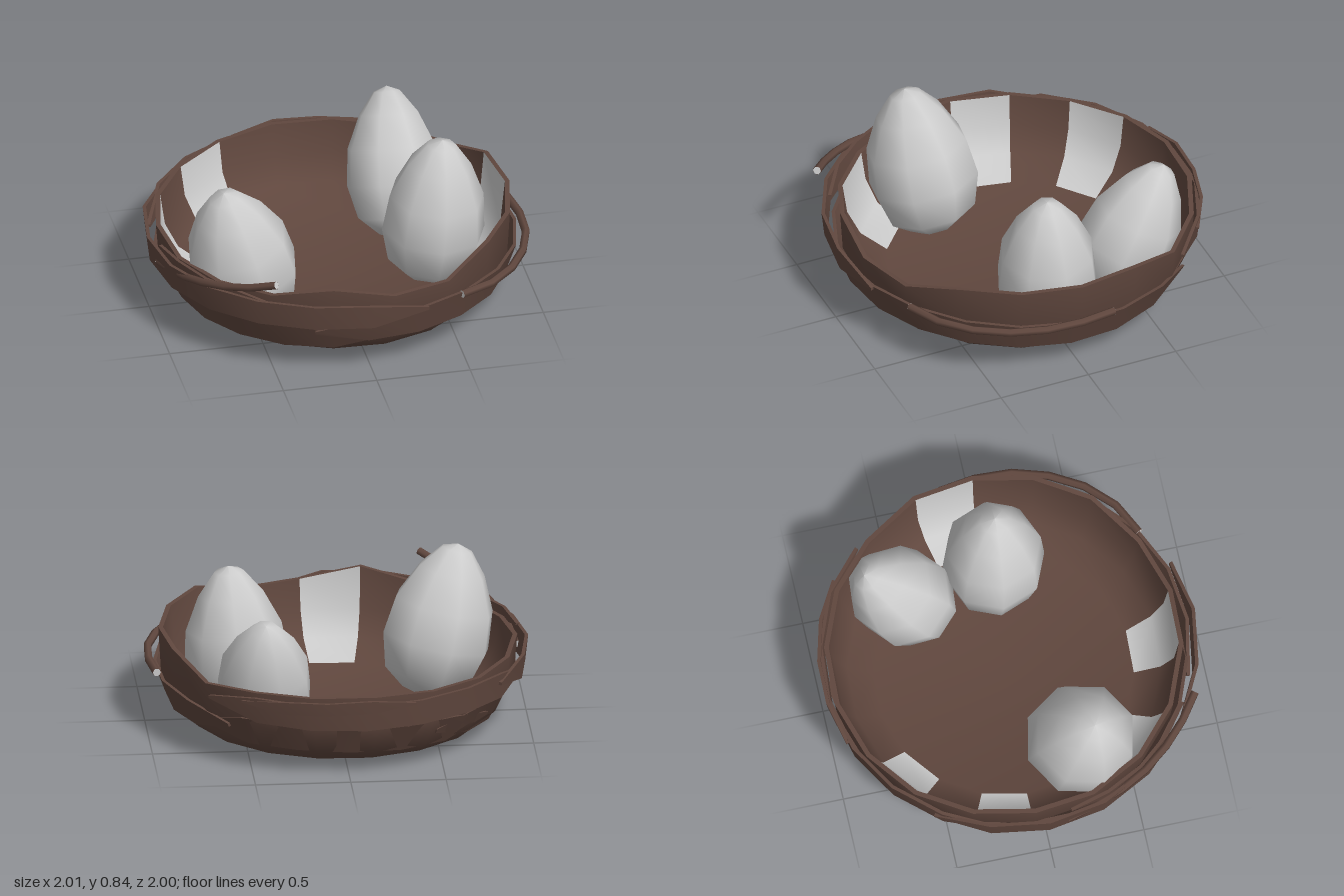
import * as THREE from 'three';
import { toCreasedNormals } from 'three/addons/utils/BufferGeometryUtils.js';

const brown = new THREE.MeshStandardMaterial({ color: 0x60473e, side: THREE.DoubleSide });
const grey = new THREE.MeshStandardMaterial({ color: 0xcccccc, side: THREE.DoubleSide });
const rad = THREE.MathUtils.degToRad;

// Piecewise-linear lookup in [key, value] pairs
function lookup(table, k) {
  for (let i = 1; i < table.length; i++) {
    const [k0, v0] = table[i - 1], [k1, v1] = table[i];
    if (k <= k1) return v0 + (v1 - v0) * Math.max(0, (k - k0) / (k1 - k0));
  }
  return table[table.length - 1][1];
}

// Angles run from +x towards +z, in degrees
const rimHeight = [[0, 0.52], [42, 0.52], [62, 0.43], [82, 0.435], [102, 0.5], [122, 0.44],
  [155, 0.42], [182, 0.45], [225, 0.435], [262, 0.455], [302, 0.45], [322, 0.43], [342, 0.52], [360, 0.52]];
const wallRadius = [[0.04, 0.7], [0.065, 0.79], [0.13, 0.86], [0.27, 0.925], [0.45, 0.945]];

// Bowl: a closed ring profile with an uneven rim and some pale panels
function bowl() {
  const n = 18, pale = [0, 5, 7, 10, 12];
  const profile = a => {
    const rim = lookup(rimHeight, (a + 360) % 360);
    return [[0, 0.035], [0.7, 0.04], [0.79, 0.065], [0.86, 0.13], [0.925, 0.27], [0.94, rim],
      [0.915, rim], [0.89, 0.27], [0.82, 0.14], [0.68, 0.05], [0, 0.045]];
  };
  const rows = 11, pos = [], lists = [[], []];
  for (let j = 0; j < n; j++) {
    const a = j * 20 - 18;
    for (const [r, y] of profile(a)) pos.push(r * Math.cos(rad(a)) - 0.01, y, r * Math.sin(rad(a)) - 0.035);
    for (let i = 0; i < rows - 1; i++) {
      const p = j * rows + i, q = ((j + 1) % n) * rows + i;
      const isPale = i === 0 || (i === 1 && j > 6 && j < 15) || (pale.includes(j) && i > 5 && i < 9);
      const list = lists[isPale ? 1 : 0];
      if (i < rows - 2) list.push(p, p + 1, q + 1);
      if (i > 0) list.push(p, q + 1, q);
      if (i === rows - 2) list.push(p, p + 1, q);
    }
  }
  const g = new THREE.BufferGeometry();
  g.setAttribute('position', new THREE.Float32BufferAttribute(pos, 3));
  g.setIndex([...lists[0], ...lists[1]]);
  g.addGroup(0, lists[0].length, 0);
  g.addGroup(lists[0].length, lists[1].length, 1);
  return new THREE.Mesh(toCreasedNormals(g, 0.75), [brown, grey]);
}

// Flat strip wrapped round the bowl, tapering at both ends
function strip(a0, a1, y0, y1, height, gap, wave) {
  const n = Math.max(4, Math.round(Math.abs(a1 - a0) / 18)), pos = [], idx = [];
  for (let j = 0; j <= n; j++) {
    const t = j / n, a = rad(a0 + (a1 - a0) * t);
    const half = height / 2 * Math.min(1, 0.12 + 2.2 * Math.sin(Math.PI * t));
    const y = y0 + (y1 - y0) * t + wave * Math.sin(t * 7);
    for (const [s, depth] of [[-1, 0], [1, 0], [1, 0.018], [-1, 0.018]]) {
      const h = y + s * half, r = lookup(wallRadius, h) + gap - depth;
      pos.push(r * Math.cos(a) - 0.01, h, r * Math.sin(a) - 0.015);
    }
    if (j < n) for (let i = 0; i < 4; i++) {
      const p = j * 4 + i, q = j * 4 + (i + 1) % 4;
      idx.push(p, q, q + 4, p, q + 4, p + 4);
    }
  }
  const e = n * 4;
  idx.push(0, 2, 1, 0, 3, 2, e, e + 1, e + 2, e, e + 2, e + 3);
  const g = new THREE.BufferGeometry();
  g.setAttribute('position', new THREE.Float32BufferAttribute(pos, 3));
  g.setIndex(idx);
  return new THREE.Mesh(toCreasedNormals(g, 0.75), brown);
}

// Round twig with closed ends
function twig(points, radius) {
  const group = new THREE.Group();
  const curve = new THREE.CatmullRomCurve3(points.map(p => new THREE.Vector3(...p)));
  group.add(new THREE.Mesh(new THREE.TubeGeometry(curve, 6, radius, 6), brown));
  for (const t of [0, 1]) {
    const cap = new THREE.Mesh(new THREE.CircleGeometry(radius, 6), grey);
    cap.position.copy(curve.getPointAt(t));
    cap.lookAt(cap.position.clone().addScaledVector(curve.getTangentAt(t), t ? 1 : -1));
    group.add(cap);
  }
  return group;
}

// Low-sided egg standing between a blunt bottom and a narrower tip
function egg(bottom, tip, radius, turn) {
  const b = new THREE.Vector3(...bottom), axis = new THREE.Vector3(...tip).sub(b);
  const len = axis.length();
  const profile = [[0, 0], [0.42, 0.03], [0.82, 0.14], [1, 0.36], [0.92, 0.6], [0.62, 0.82], [0.28, 0.965], [0, 1]];
  const g = new THREE.LatheGeometry(profile.map(([r, t]) => new THREE.Vector2(r * radius, t * len)), 8, turn);
  const mesh = new THREE.Mesh(g, grey);
  mesh.position.copy(b);
  mesh.quaternion.setFromUnitVectors(new THREE.Vector3(0, 1, 0), axis.normalize());
  return mesh;
}

export function createModel() {
  const model = new THREE.Group();
  const add = (name, part) => { part.name = name; model.add(part); };

  add('bowl', bowl());

  // Woven strips: start and end angle, start and end height, width, gap, wave
  const strips = [
    [72, 215, 0.36, 0.36, 0.14, 0.06, 0.012],
    [195, 318, 0.33, 0.37, 0.14, 0.045, 0.01],
    [-48, 108, 0.23, 0.27, 0.17, 0.035, -0.015],
    [85, 240, 0.21, 0.19, 0.18, 0.02, 0.01],
    [215, 325, 0.19, 0.21, 0.16, 0.022, -0.01],
    [120, 172, 0.4, 0.43, 0.07, 0.03, 0.005],
    [250, 305, 0.41, 0.4, 0.07, 0.055, 0.005],
  ];
  strips.forEach((s, i) => add('wovenStrip' + (i + 1), strip(...s)));

  add('sideTwig', twig([[0.5, 0.345, 0.8], [0.72, 0.34, 0.68], [0.9, 0.335, 0.43],
    [0.98, 0.335, 0.13], [0.95, 0.33, -0.17]], 0.022));
  add('looseTwig', twig([[-0.51, 0.57, 0.88], [-0.67, 0.5, 0.75], [-0.82, 0.44, 0.56],
    [-0.92, 0.38, 0.33], [-0.97, 0.33, 0.1]], 0.022));

  add('rightEgg', egg([-0.48, 0.02, 0.22], [-0.67, 0.82, 0.31], 0.295, 0.2));
  add('leftEgg', egg([0.49, 0.0, 0.01], [0.56, 0.835, 0.04], 0.275, 0));
  add('backEgg', egg([0.41, 0.05, -0.34], [0.42, 0.765, -0.69], 0.26, 0.3));
  return model;
}
